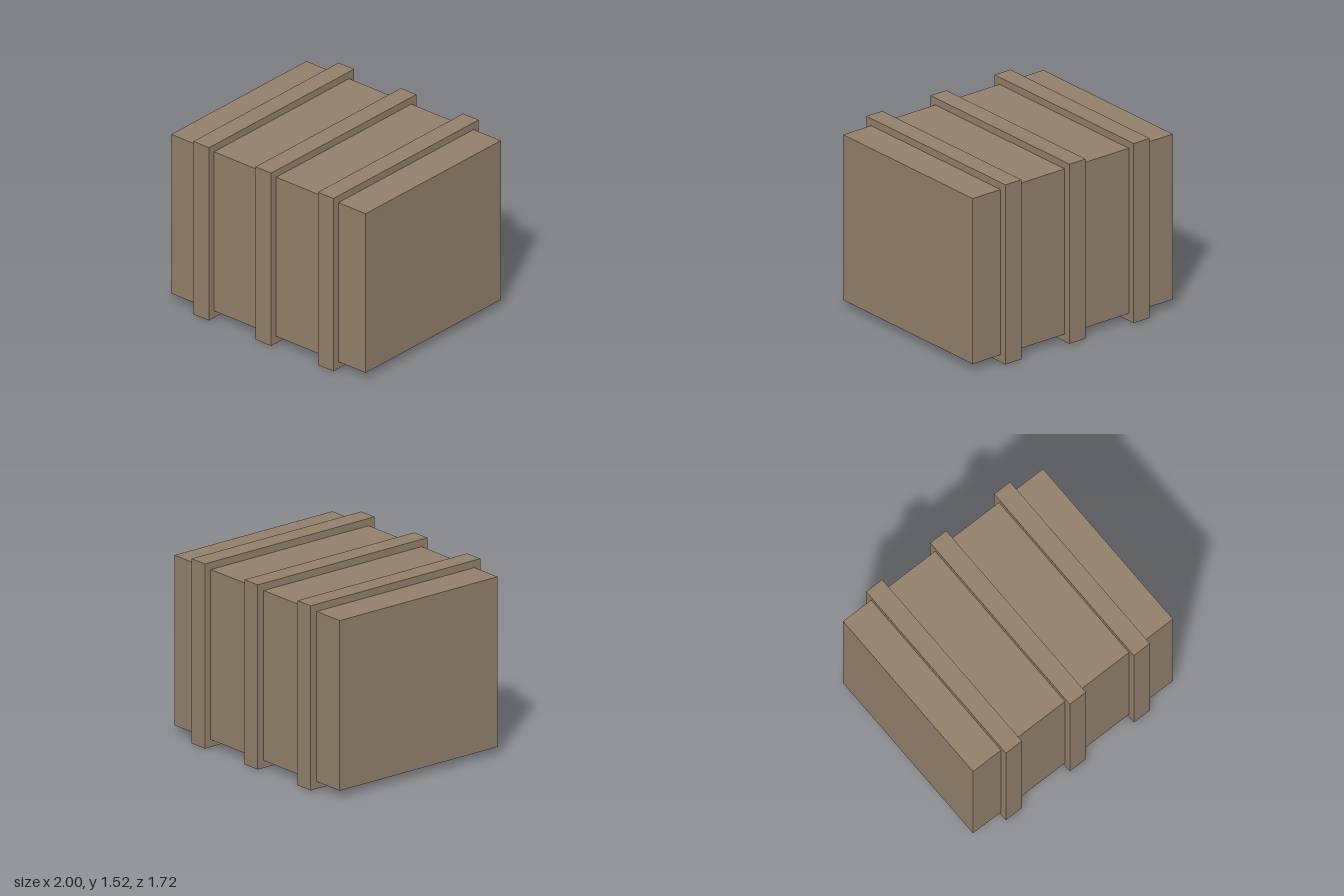
import * as THREE from 'three';

export function createModel() {
  const group = new THREE.Group();
  group.name = 'strappedCrate';

  const brown = new THREE.MeshStandardMaterial({ color: 0x917f6a });
  brown.name = 'dull brown';

  function box(name, w, h, d, x, y) {
    const mesh = new THREE.Mesh(new THREE.BoxGeometry(w, h, d), brown);
    mesh.name = name;
    mesh.position.set(x, y, 0);
    group.add(mesh);
  }

  // main block, raised off the ground by the bands
  box('crateBody', 2, 1.4, 1.6, 0, 0.76);

  // three bands wrapping around the block
  ['rightBand', 'middleBand', 'leftBand'].forEach((name, i) => {
    box(name, 0.16, 1.52, 1.72, (i - 1) * 0.64, 0.76);
  });

  return group;
}
